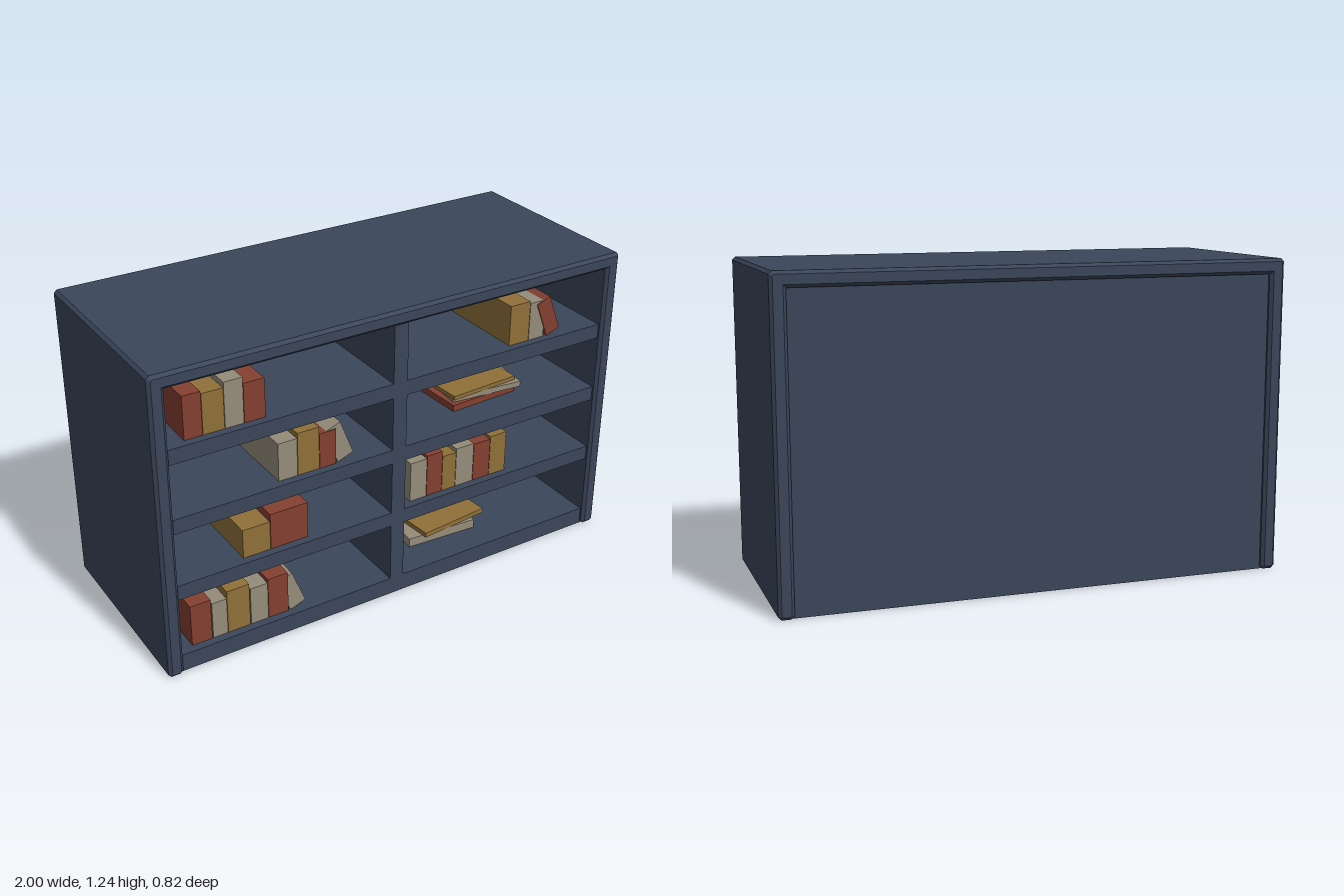
import * as THREE from 'three';

const paint = (name, color) => Object.assign(new THREE.MeshStandardMaterial({ color }), { name });

export function createModel() {
  const wood = paint('slate blue wood', 0x3b465a);
  const red = paint('brick red', 0x843f30);
  const gold = paint('ochre', 0x8f7038);
  const cream = paint('cream', 0x958c7a);

  const model = new THREE.Group();
  model.name = 'bookcase';

  const add = (name, geometry, material, parent = model) => {
    const mesh = new THREE.Mesh(geometry, material);
    mesh.name = name;
    parent.add(mesh);
    return mesh;
  };
  // Box given by its limits on each axis
  const board = (name, x0, x1, y0, y1, z0, z1, material = wood, parent = model) => {
    const mesh = add(name, new THREE.BoxGeometry(x1 - x0, y1 - y0, z1 - z0), material, parent);
    mesh.position.set((x0 + x1) / 2, (y0 + y1) / 2, (z0 + z1) / 2);
    return mesh;
  };

  // Outer case: sides and top in one arch with chamfered edges
  const c = 0.012, inner = 0.94, ceiling = 1.18;
  const outline = [
    [-1 + c, 0], [-1, c], [-1, 1.24 - c], [-1 + c, 1.24],
    [1 - c, 1.24], [1, 1.24 - c], [1, c], [1 - c, 0],
    [inner + c, 0], [inner, c], [inner, ceiling], [-inner, ceiling], [-inner, c], [-inner - c, 0],
  ];
  const caseShape = new THREE.Shape(outline.map(([x, y]) => new THREE.Vector2(x, y)));
  const caseGeometry = new THREE.ExtrudeGeometry(caseShape, {
    depth: 0.824 - 2 * c, bevelEnabled: true, bevelSegments: 1,
    bevelThickness: c, bevelSize: c, bevelOffset: -c,
  });
  caseGeometry.translate(0, 0, -0.412 + c);
  add('outerCase', caseGeometry, wood);

  // Inner boards, set back from the case edge
  const front = 0.392, back = -0.392;
  board('backPanel', -0.95, 0.95, 0, 1.19, back, back + 0.015);
  board('kickBoard', -0.95, 0.95, 0, 0.072, front - 0.015, front);
  board('bottomBoard', -0.95, 0.95, 0.068, 0.072, back + 0.01, front - 0.01);
  const shelfTops = [0.38, 0.66, 0.94];
  for (const y of shelfTops) board('shelf', -0.95, 0.95, y - 0.06, y, back + 0.01, front);
  // Divider pieces between the shelves
  [0.07, ...shelfTops].forEach((y, i) => {
    board('divider', -0.03, 0.03, y, i < 3 ? shelfTops[i] - 0.06 : 1.19, back + 0.01, front);
  });

  // Rows of upright books: [material, left, right, height]
  const bookFront = 0.36, bookDepth = 0.5;
  const rows = [
    [0.94, [red, -0.86, -0.79, 0.17], [gold, -0.788, -0.705, 0.16], [cream, -0.703, -0.63, 0.18], [red, -0.628, -0.545, 0.155]],
    [0.94, [gold, 0.52, 0.612, 0.165], [cream, 0.614, 0.685, 0.155]],
    [0.66, [cream, -0.5, -0.422, 0.155], [gold, -0.42, -0.33, 0.175], [red, -0.328, -0.258, 0.145]],
    [0.38, [gold, -0.655, -0.542, 0.12], [red, -0.54, -0.382, 0.15]],
    [0.38, [cream, 0.077, 0.152, 0.17], [red, 0.154, 0.225, 0.18], [gold, 0.227, 0.29, 0.155],
      [cream, 0.292, 0.375, 0.17], [red, 0.377, 0.455, 0.165], [gold, 0.457, 0.535, 0.175]],
    [0.067, [red, -0.88, -0.797, 0.18], [cream, -0.793, -0.732, 0.16], [gold, -0.73, -0.637, 0.19],
      [cream, -0.633, -0.56, 0.165], [red, -0.558, -0.473, 0.18]],
  ];
  for (const [y, ...books] of rows) {
    const row = new THREE.Group();
    row.name = 'bookRow';
    model.add(row);
    for (const [material, x0, x1, h] of books) {
      board('uprightBook', x0, x1, y, y + h, bookFront - bookDepth, bookFront, material, row);
    }
  }

  // Books leaning on the end of a row: [material, foot x, foot y, width]
  for (const [material, x, y, w] of [[red, 0.70, 0.94, 0.064], [cream, -0.248, 0.66, 0.07], [cream, -0.462, 0.067, 0.07]]) {
    const geometry = new THREE.BoxGeometry(w, 0.153, bookDepth);
    geometry.translate(w / 2, 0.153 / 2, 0);
    const book = add('leaningBook', geometry, material);
    const z = bookFront - bookDepth / 2 + (material === red ? 0.004 : -0.004);
    book.position.set(x, y, z);
    book.rotation.z = 0.37;
  }

  // Books lying flat in stacks: [material, centre x, bottom, top, turn]
  const flat = [
    [red, 0.485, 0.66, 0.687, 0.05], [cream, 0.52, 0.687, 0.71, -0.1], [gold, 0.485, 0.71, 0.727, 0.06],
    [cream, 0.32, 0.067, 0.11, -0.06], [gold, 0.36, 0.11, 0.13, 0.1],
  ];
  for (const [material, x, y0, y1, turn] of flat) {
    board('flatBook', x - 0.155, x + 0.155, y0, y1, -0.03, 0.26, material).rotation.y = turn;
  }
  return model;
}
